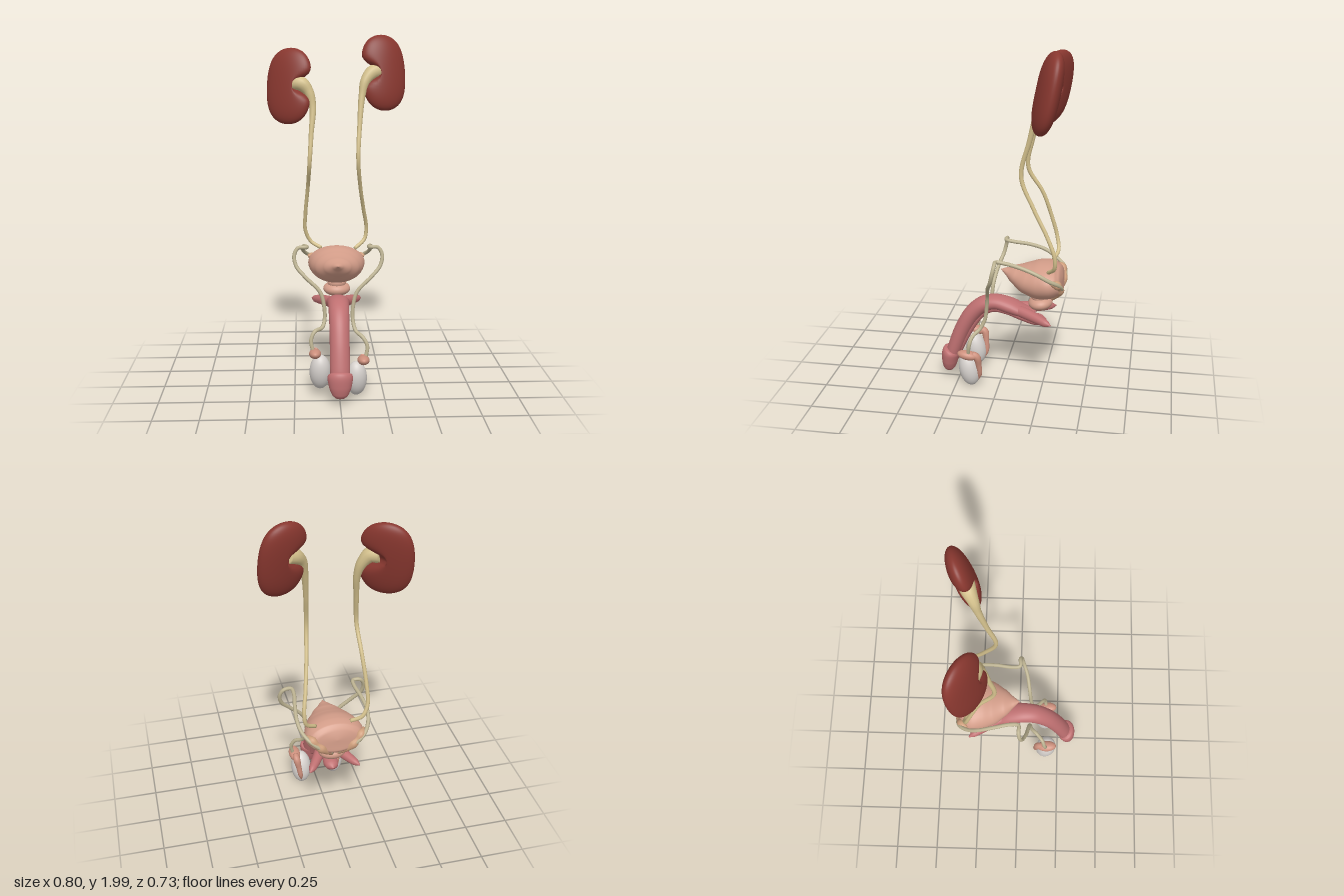
import * as THREE from 'three';
import { mergeVertices } from 'three/addons/utils/BufferGeometryUtils.js';

const mat = (name, color) => {
  const m = new THREE.MeshStandardMaterial({ color });
  m.name = name;
  return m;
};

// Smooth elliptical tube through [x, y, z, a, b]; a and b are half widths across the path
function loft(points, rings = 60, sides = 24) {
  const path = new THREE.CatmullRomCurve3(points.map(p => new THREE.Vector3(p[0], p[1], p[2])));
  const size = new THREE.CatmullRomCurve3(points.map(p => new THREE.Vector3(p[3], p[4] ?? p[3], 0)), false, 'catmullrom', 0.4);
  const { normals, binormals } = path.computeFrenetFrames(rings);
  const pos = [], index = [];
  for (let i = 0; i <= rings; i++) {
    const t = path.getUtoTmapping(i / rings);
    const c = path.getPoint(t), s = size.getPoint(t);
    for (let j = 0; j < sides; j++) {
      const q = j / sides * Math.PI * 2;
      const v = c.clone()
        .addScaledVector(normals[i], Math.max(s.x, 0.001) * Math.cos(q))
        .addScaledVector(binormals[i], Math.max(s.y, 0.001) * Math.sin(q));
      pos.push(v.x, v.y, v.z);
      if (i < rings) {
        const k = i * sides + j, n = i * sides + (j + 1) % sides;
        index.push(k, n, k + sides, n, n + sides, k + sides);
      }
    }
  }
  // Close both ends
  for (let j = 1; j < sides - 1; j++) {
    const e = rings * sides;
    index.push(0, j + 1, j, e, e + j, e + j + 1);
  }
  const g = new THREE.BufferGeometry();
  g.setAttribute('position', new THREE.Float32BufferAttribute(pos, 3));
  g.setIndex(index);
  g.computeVertexNormals();
  return g;
}

// Bean: a sphere dented on its inner side, leaning back towards the top
function bean(side, cx, cy, cz, slope) {
  let g = new THREE.SphereGeometry(1, 48, 36);
  g.deleteAttribute('uv');
  g.deleteAttribute('normal');
  g = mergeVertices(g);
  const p = g.attributes.position;
  for (let i = 0; i < p.count; i++) {
    const px = p.getX(i) * side, py = p.getY(i), pz = p.getZ(i);
    const full = 1 + 0.25 * py * py;
    const inner = THREE.MathUtils.smoothstep(-px, 0, 0.9);
    const dent = 0.095 * Math.exp(-(((py - 0.03) / 0.24) ** 2)) * inner;
    const x = 0.13 * px * full + dent - 0.012 * py;
    const y = 0.215 * py;
    const z = 0.064 * pz * full - slope * x - 0.2 * y;
    p.setXYZ(i, side * (cx + x), cy + y, cz + z);
  }
  g.computeVertexNormals();
  return g;
}

export function createModel() {
  const root = new THREE.Group();
  root.name = 'urinaryAndReproductiveTract';
  const kidneyRed = mat('kidney red', 0x88372f);
  const ureterYellow = mat('ureter yellow', 0xd3c08c);
  const ductBeige = mat('duct beige', 0xbdb392);
  const bladderPeach = mat('bladder peach', 0xd29c88);
  const glandTan = mat('gland tan', 0xcf9f7c);
  const tissuePink = mat('tissue pink', 0xbf7071);
  const testisWhite = mat('testis white', 0xd6d1cd);
  const epididymisPink = mat('epididymis pink', 0xcc8f7c);

  const add = (name, geometry, material, parent = root) => {
    const m = new THREE.Mesh(geometry, material);
    m.name = name;
    parent.add(m);
    return m;
  };
  const ball = (name, material, [x, y, z], [rx, ry, rz], tilt = 0) => {
    const m = add(name, new THREE.SphereGeometry(1, 32, 24), material);
    m.position.set(x, y, z);
    m.scale.set(rx, ry, rz);
    m.rotation.x = tilt;
    return m;
  };
  const mid = pts => pts.map(([y, z, a, b]) => [0, y, z, a, b]);

  // Kidneys, the right one lower and turned further forward
  add('leftKidney', bean(1, 0.27, 1.785, -0.285, 0.25), kidneyRed);
  add('rightKidney', bean(-1, 0.27, 1.712, -0.255, 0.48), kidneyRed);

  // Ureters with their funnel at the kidney
  add('leftUreter', loft([
    [0.245, 1.80, -0.275, 0.045], [0.205, 1.785, -0.26, 0.042], [0.165, 1.74, -0.235, 0.03],
    [0.145, 1.66, -0.215, 0.02], [0.13, 1.5, -0.175, 0.014], [0.12, 1.3, -0.13, 0.012],
    [0.137, 1.13, -0.20, 0.011], [0.16, 0.99, -0.275, 0.011], [0.18, 0.87, -0.325, 0.011],
    [0.17, 0.80, -0.325, 0.011], [0.11, 0.75, -0.285, 0.011]], 110, 14), ureterYellow);
  add('rightUreter', loft([
    [-0.245, 1.73, -0.235, 0.045], [-0.20, 1.725, -0.215, 0.042], [-0.16, 1.68, -0.205, 0.03],
    [-0.138, 1.6, -0.19, 0.02], [-0.147, 1.45, -0.155, 0.014], [-0.158, 1.28, -0.13, 0.012],
    [-0.168, 1.13, -0.215, 0.011], [-0.182, 0.97, -0.27, 0.011], [-0.183, 0.86, -0.30, 0.011],
    [-0.15, 0.79, -0.312, 0.011], [-0.09, 0.755, -0.29, 0.011]], 110, 14), ureterYellow);

  // Bladder, pointed towards the front
  add('bladder', loft(mid([
    [0.71, 0.0, 0.002, 0.002], [0.702, -0.03, 0.03, 0.02], [0.687, -0.08, 0.08, 0.052],
    [0.67, -0.15, 0.13, 0.086], [0.665, -0.22, 0.158, 0.106], [0.67, -0.28, 0.168, 0.104],
    [0.678, -0.33, 0.15, 0.086], [0.683, -0.352, 0.105, 0.055], [0.683, -0.357, 0.002, 0.002]]), 70, 40), bladderPeach);
  ball('prostate', bladderPeach, [0, 0.522, -0.23], [0.08, 0.042, 0.07], 0.1);
  ball('bladderNeck', bladderPeach, [0, 0.56, -0.225], [0.055, 0.04, 0.05]);

  // Shaft, lower column with its bulb, and glans
  add('shaft', loft(mid([
    [0.45, -0.2, 0.025, 0.018], [0.465, -0.12, 0.065, 0.035], [0.488, -0.05, 0.068, 0.043],
    [0.505, 0.03, 0.061, 0.042], [0.487, 0.1, 0.058, 0.047], [0.43, 0.165, 0.056, 0.048],
    [0.33, 0.225, 0.055, 0.046], [0.2, 0.276, 0.055, 0.043], [0.12, 0.3, 0.05, 0.038]]), 60, 32), tissuePink);
  add('lowerColumn', loft(mid([
    [0.415, -0.265, 0.003, 0.003], [0.413, -0.24, 0.034, 0.026], [0.413, -0.2, 0.043, 0.034],
    [0.425, -0.13, 0.033, 0.027], [0.453, -0.04, 0.026, 0.024], [0.465, 0.04, 0.026, 0.024],
    [0.44, 0.1, 0.026, 0.024], [0.36, 0.165, 0.026, 0.024], [0.2, 0.245, 0.026, 0.022],
    [0.13, 0.27, 0.02, 0.018]]), 60, 20), tissuePink);
  add('glans', loft(mid([
    [0.185, 0.293, 0.045, 0.036], [0.178, 0.296, 0.064, 0.05], [0.158, 0.302, 0.07, 0.053],
    [0.11, 0.309, 0.062, 0.047], [0.068, 0.312, 0.046, 0.036], [0.048, 0.312, 0.026, 0.02],
    [0.041, 0.312, 0.002, 0.002]]), 40, 32), tissuePink);

  // Paired parts; the right testis hangs a little higher
  for (const [side, label, lift] of [[1, 'left', 0], [-1, 'right', 0.04]]) {
    const flip = pts => pts.map(([x, y, z, a, b]) => [side * x, y, z, a, b]);

    add(label + 'Crus', loft(flip([
      [0.02, 0.475, -0.08, 0.03], [0.05, 0.465, -0.15, 0.032], [0.09, 0.455, -0.22, 0.028],
      [0.125, 0.447, -0.275, 0.021], [0.145, 0.443, -0.305, 0.004]]), 30, 18), tissuePink);

    add(label + 'SeminalVesicle', loft(flip([
      [0.165, 0.705, -0.305, 0.008], [0.14, 0.69, -0.335, 0.026], [0.115, 0.665, -0.347, 0.019],
      [0.092, 0.64, -0.347, 0.027], [0.062, 0.61, -0.34, 0.019], [0.02, 0.56, -0.3, 0.014]]), 40, 14), glandTan);

    // Long duct looping over and behind the bladder
    add(label + 'SpermDuct', loft(flip([
      [0.145, 0.22 + lift, 0.17, 0.011], [0.157, 0.29 + lift, 0.16, 0.011], [0.135, 0.335 + lift, 0.145, 0.011],
      [0.095, 0.365 + lift / 2, 0.11, 0.011], [0.08, 0.42, 0.082, 0.011], [0.082, 0.5, 0.07, 0.011],
      [0.105, 0.58, 0.062, 0.011], [0.185, 0.66, 0.045, 0.011], [0.237, 0.72, 0.022, 0.011],
      [0.248, 0.78, 0.008, 0.011], [0.225, 0.82, 0, 0.011], [0.182, 0.822, 0, 0.011],
      [0.177, 0.815, -0.05, 0.011], [0.192, 0.8, -0.14, 0.011], [0.202, 0.77, -0.23, 0.011],
      [0.19, 0.73, -0.295, 0.011], [0.15, 0.69, -0.35, 0.011], [0.08, 0.63, -0.357, 0.011],
      [0.02, 0.57, -0.31, 0.011]]), 150, 10), ductBeige);

    const cx = side * (0.095 + lift * 0.3);
    ball(label + 'Testis', testisWhite, [cx, 0.11 + lift, 0.172], [0.06, 0.103, 0.06], 0.2);
    // Cap over the testis and tail down its back
    ball(label + 'EpididymisHead', epididymisPink, [side * 0.135, 0.215 + lift, 0.175], [0.034, 0.027, 0.06], -0.15);
    add(label + 'EpididymisTail', loft(flip([
      [0.135, 0.225 + lift, 0.15, 0.018], [0.132, 0.205 + lift, 0.122, 0.022], [0.122, 0.15 + lift, 0.112, 0.017],
      [0.112, 0.09 + lift, 0.108, 0.014], [0.105, 0.05 + lift, 0.117, 0.004]]), 30, 14), epididymisPink);
  }
  return root;
}
